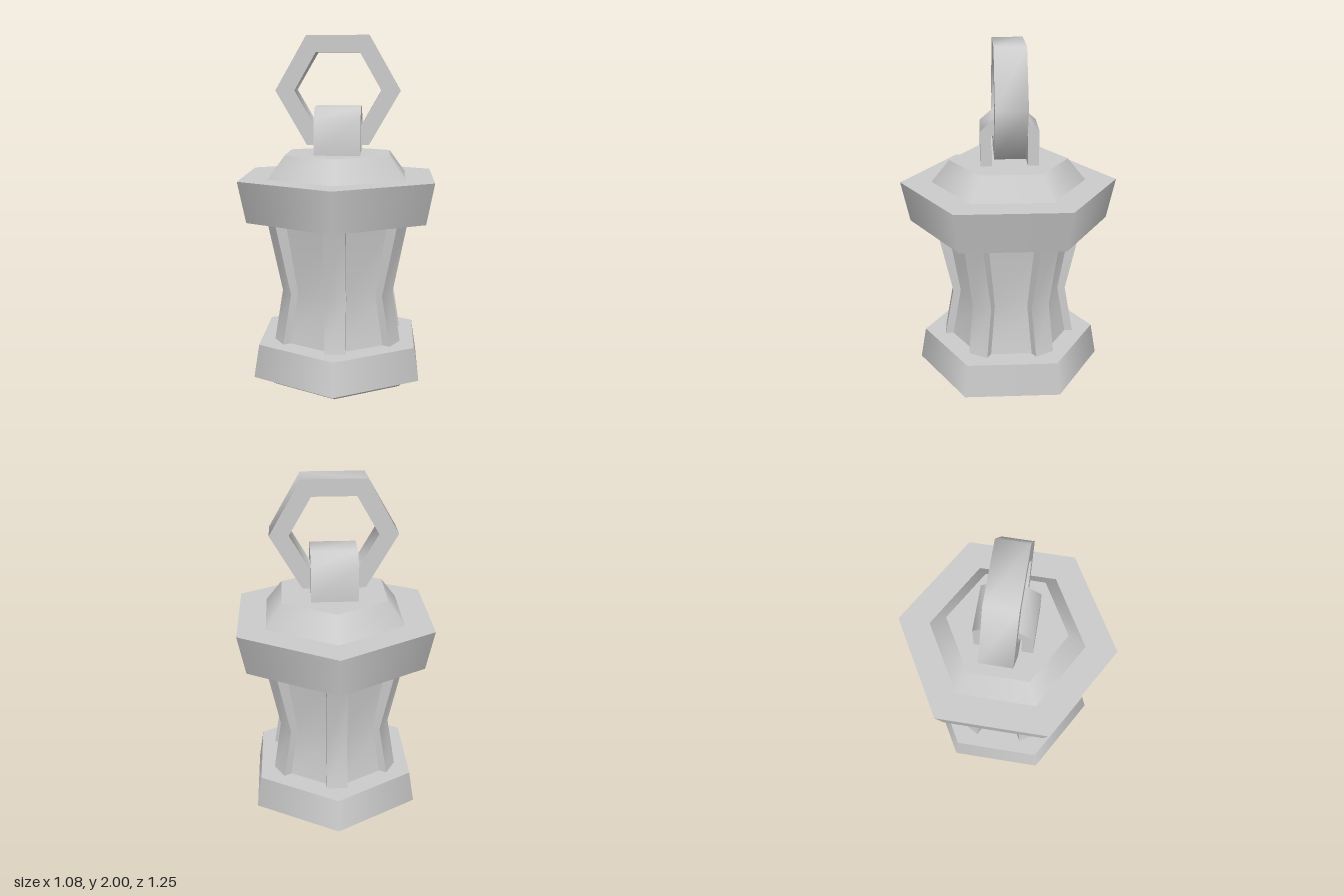
import * as THREE from 'three';
import { toCreasedNormals } from 'three/addons/utils/BufferGeometryUtils.js';

const material = new THREE.MeshStandardMaterial({ color: 0xcccccc });
const Y0 = 0.25, WAIST = 0.54, Y1 = 0.97; // heights of the hourglass body

function addMesh(parent, name, geometry) {
  const mesh = new THREE.Mesh(geometry, material);
  mesh.name = name;
  parent.add(mesh);
  return mesh;
}

// Six-sided tapered slab with softly shaded sides and corners on the z axis
function hexSlab(parent, name, y0, y1, r0, r1) {
  addMesh(parent, name, new THREE.CylinderGeometry(r1, r0, y1 - y0, 6))
    .position.y = (y0 + y1) / 2;
}

// Move the three rows (v = -0.5, 0, 0.5) of a unit geometry to body heights
function shapeRows(geometry, place) {
  const p = geometry.attributes.position;
  for (let i = 0; i < p.count; i++) {
    const row = Math.round(p.getY(i) * 2) + 1;
    const [x, z] = place(row, p.getX(i), p.getZ(i));
    p.setXYZ(i, x, [Y0, WAIST, Y1][row], z);
  }
  geometry.computeVertexNormals();
  return geometry;
}

// Shape from a list of [x, y] points
const outline = (points) => new THREE.Shape(points.map(([x, y]) => new THREE.Vector2(x, y)));

function hexPoints(r) {
  return Array.from({ length: 6 }, (_, i) => [r * Math.cos(i * Math.PI / 3), r * Math.sin(i * Math.PI / 3)]);
}

// Extrusion centred on its depth, soft along the bends and sharp at the rims
function extrude(shape, depth) {
  const g = new THREE.ExtrudeGeometry(shape, { depth, bevelEnabled: false });
  g.translate(0, 0, -depth / 2);
  return toCreasedNormals(g, 1.2);
}

export function createModel() {
  const model = new THREE.Group();
  model.name = 'lantern';

  // Base and lid
  hexSlab(model, 'foot', 0, 0.06, 0.42, 0.47);
  hexSlab(model, 'base', 0.06, Y0, 0.545, 0.512);
  hexSlab(model, 'lid', Y1, 1.205, 0.575, 0.625);
  hexSlab(model, 'cap', 1.205, 1.335, 0.445, 0.34);

  // Waisted body: six panes with a post over each corner
  const paneRadius = [0.375, 0.325, 0.398];
  const postRadius = [0.387, 0.335, 0.43];
  const body = new THREE.Group();
  body.name = 'body';
  model.add(body);
  const pane = shapeRows(new THREE.PlaneGeometry(1, 1, 1, 2),
    (row, x) => [x * paneRadius[row], paneRadius[row] * Math.cos(Math.PI / 6)]);
  const post = shapeRows(new THREE.BoxGeometry(1, 1, 1, 1, 2, 1),
    (row, x, z) => [x * 0.12, postRadius[row] + (z - 0.5) * 0.1]);
  for (let i = 0; i < 6; i++) {
    addMesh(body, 'pane', pane).rotation.y = (i + 0.5) * Math.PI / 3;
    addMesh(body, 'post', post).rotation.y = i * Math.PI / 3;
  }

  // Chamfered arch on the cap, holding the ring
  const half = [[0.163, 1.335], [0.163, 1.535], [0.085, 1.603]];
  const inner = [[0.06, 1.54], [0.1, 1.505], [0.1, 1.335]];
  const flip = (points) => points.map(([x, y]) => [-x, y]).reverse();
  const arch = outline([...half, ...flip(half), ...flip(inner), ...inner]);
  addMesh(model, 'ringBracket', extrude(arch, 0.262)).rotation.y = Math.PI / 2;

  // Hexagonal carrying ring
  const ring = outline(hexPoints(0.353));
  ring.holes.push(outline(hexPoints(0.245)));
  addMesh(model, 'carryRing', extrude(ring, 0.176)).position.y = 1.694;

  return model;
}
